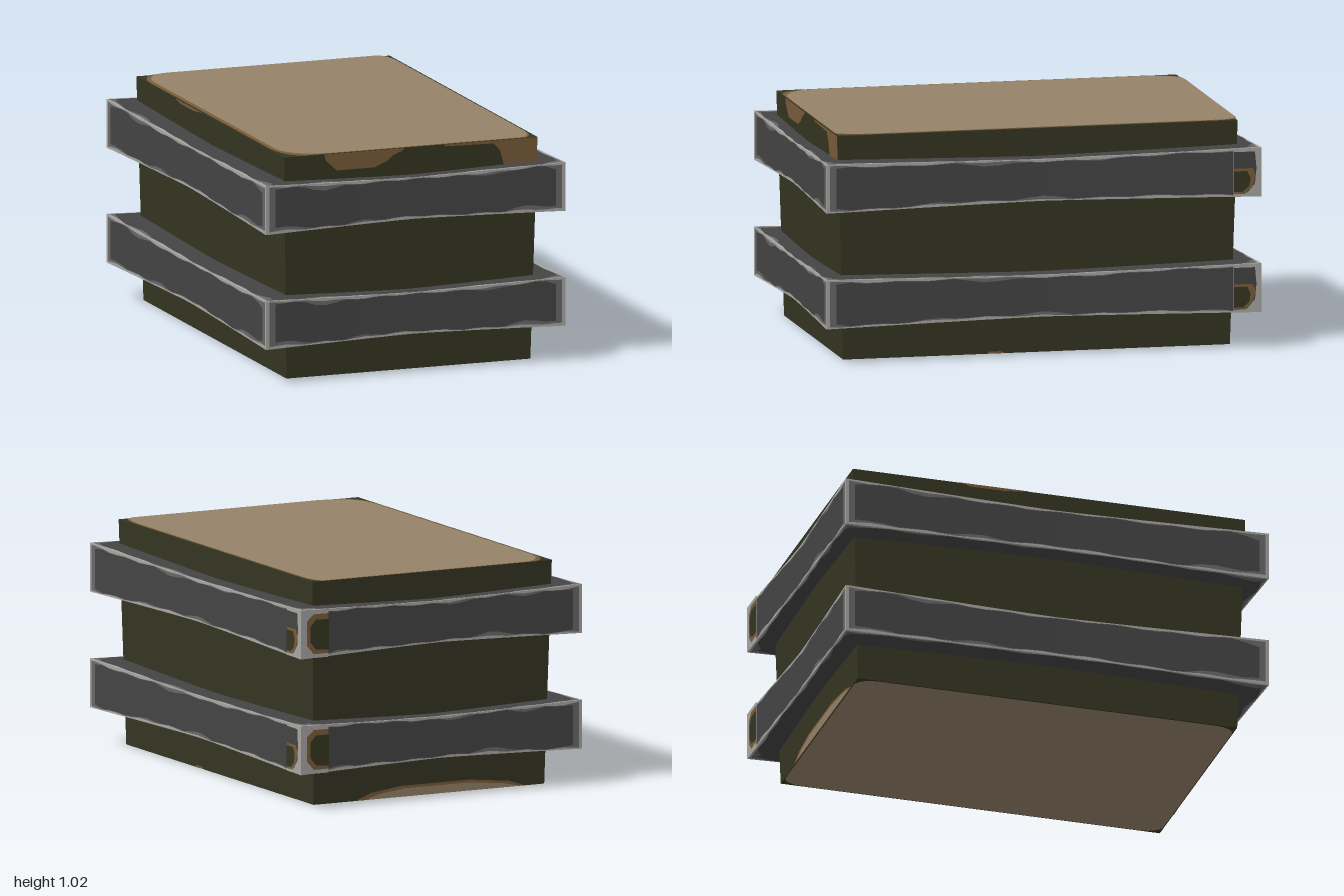
import * as THREE from 'three';

const mat = (name, color) => {
  const m = new THREE.MeshStandardMaterial({ color });
  m.name = name;
  return m;
};

export function createModel() {
  const M = {
    olive: mat('olive paint', 0x353522),
    dark: mat('dark metal', 0x444445),
    mid: mat('scuffed metal', 0x686868),
    light: mat('bare metal edge', 0xa8a6a2),
    tan: mat('tan panel', 0x958268),
    brown: mat('brown wear', 0x7a5c38),
  };
  const model = new THREE.Group();
  model.name = 'crate';
  const add = (parent, geo, material, name) => {
    const mesh = new THREE.Mesh(geo, material);
    mesh.name = name;
    parent.add(mesh);
    return mesh;
  };

  // Body: a box that widens slightly towards the top
  const H = 1.016;
  const halfX = (y) => 0.583 + 0.022 * y;
  const halfZ = (y) => 0.885 + 0.03 * y;
  const box = new THREE.BoxGeometry(2, H, 2).translate(0, H / 2, 0);
  const p = box.attributes.position;
  for (let i = 0; i < p.count; i++) {
    const y = p.getY(i);
    p.setXYZ(i, 0.004 + p.getX(i) * halfX(y), y + 0.002, 0.005 + p.getZ(i) * halfZ(y));
  }
  box.computeVertexNormals();
  add(model, box, M.olive, 'body');

  // Thin painted shape: outline points (a, b) are placed by a mapping function
  const decal = (parent, pts, place, material, name, smooth = false) => {
    const shape = smooth
      ? new THREE.Shape(new THREE.CatmullRomCurve3(pts.map(([a, b]) => new THREE.Vector3(a, b, 0)), true).getPoints(40).map((v) => new THREE.Vector2(v.x, v.y)))
      : new THREE.Shape(pts.map(([a, b]) => new THREE.Vector2(a, b)));
    const geo = new THREE.ShapeGeometry(shape);
    const q = geo.attributes.position;
    for (let i = 0; i < q.count; i++) q.setXYZ(i, ...place(q.getX(i), q.getY(i)));
    geo.computeVertexNormals();
    return add(parent, geo, material, name);
  };

  // Rectangle with a differently rounded corner each: [rx, ry] from lower left, anticlockwise
  const rounded = (x0, x1, y0, y1, r) => {
    const out = [];
    [[x0, y0, 1, 1], [x1, y0, -1, 1], [x1, y1, -1, -1], [x0, y1, 1, -1]].forEach(([x, y, sx, sy], i) => {
      for (let k = 0; k <= 6; k++) {
        const t = ((i % 2 ? 6 - k : k) / 6) * Math.PI / 2;
        out.push([x + sx * r[i][0] * (1 - Math.cos(t)), y + sy * r[i][1] * (1 - Math.sin(t))]);
      }
    });
    return out;
  };

  // Lid panel and underside panel with worn rims
  const onTop = (y) => (a, b) => [a, y, -b];
  decal(model, rounded(-0.596, 0.6, -0.917, 0.917, [[0.1, 0.2], [0.05, 0.14], [0.05, 0.12], [0.1, 0.17]]),
    onTop(1.0195), M.brown, 'lidRim');
  decal(model, rounded(-0.578, 0.596, -0.917, 0.917, [[0.19, 0.17], [0.06, 0.16], [0.05, 0.12], [0.12, 0.17]]),
    onTop(1.022), M.tan, 'lidPanel');
  decal(model, rounded(-0.575, 0.58, -0.878, 0.885, [[0.06, 0.1], [0.06, 0.1], [0.06, 0.1], [0.06, 0.1]]),
    (a, b) => [a, 0, b], M.tan, 'undersidePanel');

  // Worn paint on the body sides
  const onFront = (a, b) => [a, b, 0.008 + halfZ(b)];
  const onBack = (o) => (a, b) => [-a, b, 0.005 - halfZ(b) - o];
  decal(model, [[-0.41, 1.018], [-0.405, 0.99], [-0.35, 0.94], [-0.17, 0.94], [-0.11, 0.965], [-0.08, 0.99], [-0.04, 1.005], [-0.03, 1.018]],
    onFront, M.brown, 'frontWearLeft');
  decal(model, [[0.16, 1.018], [0.17, 1.01], [0.4, 1.005], [0.43, 0.97], [0.45, 0.9], [0.606, 0.9], [0.608, 1.018]],
    onFront, M.brown, 'frontWearRight');
  decal(model, [[-0.38, 0.003], [0.48, 0.003], [0.4, 0.03], [0.2, 0.052], [-0.15, 0.052], [-0.3, 0.032]],
    onBack(0.002), M.brown, 'backWearRim');
  decal(model, [[-0.33, 0.003], [0.46, 0.003], [0.36, 0.024], [0.18, 0.04], [-0.13, 0.04], [-0.26, 0.024]],
    onBack(0.004), M.tan, 'backWear');
  decal(model, [[-0.24, 0.003], [-0.15, 0.003], [-0.17, 0.012], [-0.22, 0.012]],
    (a, b) => [0.006 + halfX(b), b, -a], M.brown, 'sideWear');
  decal(model, [[-0.42, 1.018], [-0.36, 1.005], [-0.2, 1.005], [-0.08, 1.018]],
    (a, b) => [0.001 - halfX(b), b, a], M.brown, 'sideWearTop');

  // Grid panel split into bare edge, scuffed border and dark middle.
  // e0 and e1 scale the border at v = 0 and v = 1, ends is the border at both u ends.
  const panel = (parent, place, e0, e1, ends, seed, name) => {
    const N = 28, us = [0];
    if (ends) us.push(0.35 * ends, ends);
    for (let i = 1; i < N; i++) us.push(ends + (1 - 2 * ends) * i / N);
    if (ends) us.push(1 - ends, 1 - 0.35 * ends);
    us.push(1);
    const rows = (u) => {
      const border = (e, s) => {
        const n = Math.sin(u * 17 + s) * Math.sin(u * 31 + s * 2.3);
        const m = Math.sin(u * 23 + s * 1.7) + Math.sin(u * 9 + s * 3.1);
        const near = Math.max(0, 1 - Math.min(u, 1 - u) / 0.05);
        const a = e * (0.045 + 0.03 * n);
        return [a, a + e * (0.012 + 0.055 * Math.max(0, m - 0.5) + 0.09 * near)];
      };
      const [a, b] = border(e0, seed), [c, d] = border(e1, seed + 2);
      return [0, a, b, 1 - d, 1 - c, 1];
    };
    const out = [[], [], []];
    const last = us.length - 2;
    for (let i = 0; i <= last; i++) {
      const r0 = rows(us[i]), r1 = rows(us[i + 1]);
      const col = ends ? Math.min(i, last - i, 2) : 2;
      for (let j = 0; j < 5; j++) {
        const ring = Math.min(col, j, 4 - j);
        const a = place(us[i], r0[j]), b = place(us[i + 1], r1[j]);
        const c = place(us[i + 1], r1[j + 1]), d = place(us[i], r0[j + 1]);
        if (r0[j + 1] - r0[j] + r1[j + 1] - r1[j] < 1e-6) continue;
        out[ring].push(...a, ...b, ...c, ...a, ...c, ...d);
      }
    }
    ['light', 'mid', 'dark'].forEach((key, k) => {
      if (!out[k].length) return;
      const geo = new THREE.BufferGeometry();
      geo.setAttribute('position', new THREE.Float32BufferAttribute(out[k], 3));
      geo.computeVertexNormals();
      add(parent, geo, M[key], name + ' ' + key);
    });
  };

  // Bands: four bowed beams each, mitred at the corners
  const outer = [[-0.717, 0.995], [0.714, 0.996], [0.714, -0.996], [-0.717, -0.98]];
  const inner = [[-0.57, 0.87], [0.57, 0.87], [0.57, -0.87], [-0.57, -0.87]];
  const normals = [[0, 1], [1, 0], [0, -1], [-1, 0]];
  const lerp = (a, b, t) => a + (b - a) * t;
  const band = (y0, name) => {
    const g = new THREE.Group();
    g.name = name;
    const y1 = y0 + 0.222;
    for (let s = 0; s < 4; s++) {
      const n = (s + 1) % 4, [nx, nz] = normals[s];
      const sag = (u) => 1 - Math.abs(2 * u - 1) ** 1.2;
      const edge = (u) => [
        lerp(outer[s][0], outer[n][0], u) - nx * 0.014 * sag(u),
        lerp(outer[s][1], outer[n][1], u) - nz * 0.014 * sag(u)];
      const low = (u) => y0 + 0.017 * sag(u), high = (u) => y1 - 0.017 * sag(u);
      const flat = (u, v, y) => {
        const [x, z] = edge(u);
        return [lerp(x, lerp(inner[s][0], inner[n][0], u), v), y, lerp(z, lerp(inner[s][1], inner[n][1], u), v)];
      };
      const ends = 0.045 / (s % 2 ? 2 : 1.43);
      panel(g, (u, v) => { const [x, z] = edge(u); return [x, lerp(low(u), high(u), v), z]; }, 1, 1, ends, s * 1.3, 'beamFace');
      panel(g, (u, v) => flat(u, v, high(u)), 1.6, 0, 0, s * 1.3 + 2, 'beamTop');
      panel(g, (u, v) => flat(u, 1 - v, low(u)), 0, 1.6, 0, s * 1.3 + 4, 'beamUnderside');
    }

    // Worn patches wrapping the back corner on the +x side
    const side = (o) => (a, b) => [0.714 + o, y0 + b, -a];
    const back = (o) => (a, b) => [-a, y0 + b, -0.996 - o];
    decal(g, [[0.868, 0.002], [0.996, 0.002], [0.996, 0.22], [0.868, 0.22]], side(0.001), M.light, 'cornerEdgeSide');
    decal(g, [[0.868, 0.02], [0.93, 0.02], [0.965, 0.06], [0.972, 0.13], [0.965, 0.205], [0.868, 0.205]], side(0.002), M.dark, 'cornerMetalSide');
    decal(g, [[0.868, 0.015], [0.92, 0.015], [0.955, 0.05], [0.968, 0.1], [0.955, 0.13], [0.868, 0.13]], side(0.003), M.brown, 'cornerWearSide');
    decal(g, [[0.868, 0.025], [0.91, 0.025], [0.938, 0.05], [0.945, 0.085], [0.93, 0.118], [0.868, 0.118]], side(0.004), M.olive, 'cornerPaintSide');
    decal(g, [[-0.714, 0.002], [-0.575, 0.002], [-0.575, 0.22], [-0.714, 0.22]], back(0.001), M.light, 'cornerEdgeBack');
    decal(g, [[-0.685, 0.06], [-0.65, 0.02], [-0.575, 0.02], [-0.575, 0.2], [-0.65, 0.2], [-0.685, 0.17]], back(0.0025), M.brown, 'cornerWearBack');
    decal(g, [[-0.668, 0.075], [-0.64, 0.04], [-0.575, 0.035], [-0.575, 0.175], [-0.64, 0.175], [-0.668, 0.145]], back(0.004), M.olive, 'cornerPaintBack');
    model.add(g);
  };
  band(0.164, 'lowerBand');
  band(0.688, 'upperBand');

  return model;
}
